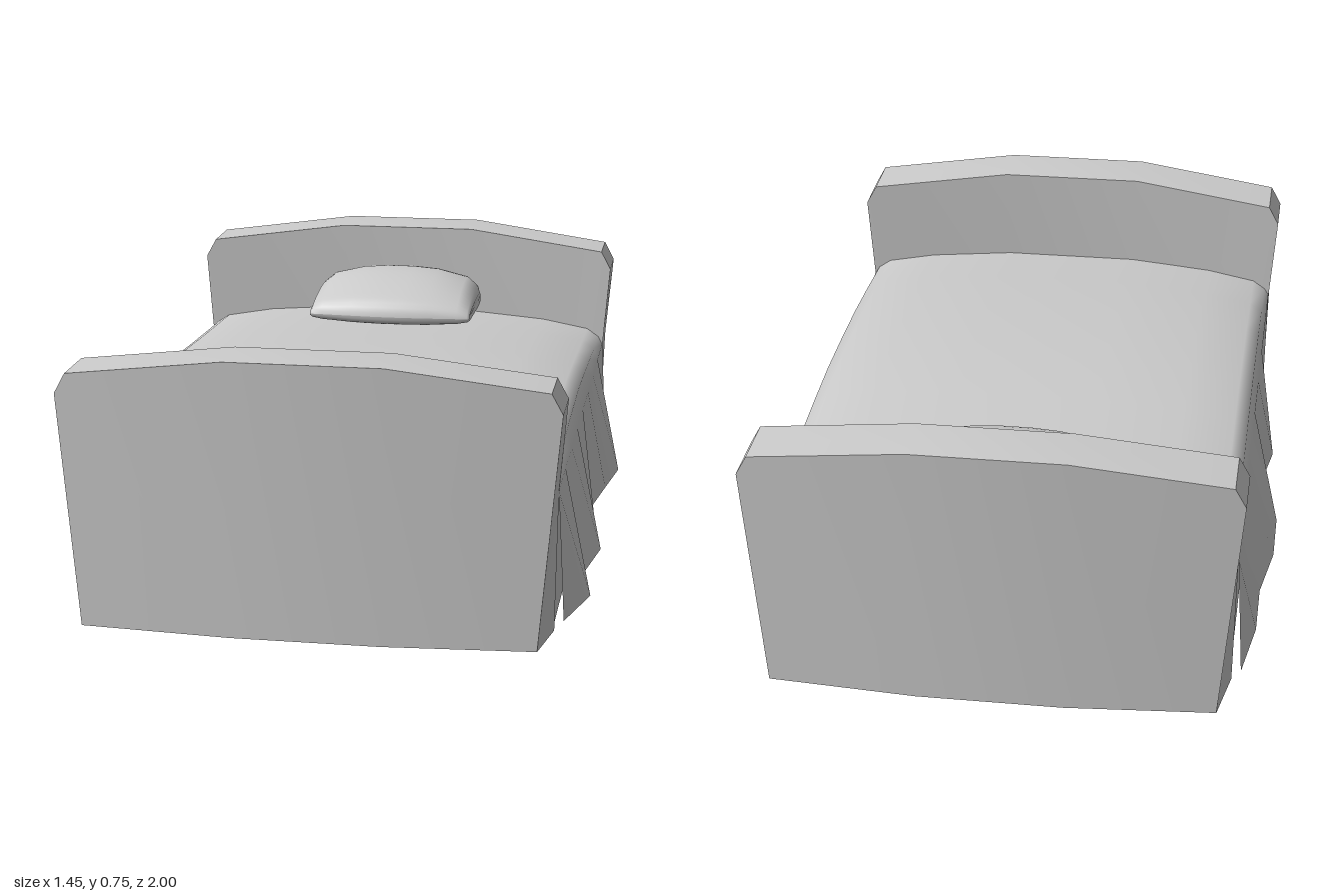
import * as THREE from 'three';
import { toCreasedNormals } from 'three/addons/utils/BufferGeometryUtils.js';

const material = new THREE.MeshStandardMaterial({ color: 0xcccccc, side: THREE.DoubleSide });

// Skin a surface over rows of [x, y, z] points; crease keeps sharper edges hard
function loft(name, rows, crease) {
  const n = rows[0].length, index = [];
  for (let r = 0; r < rows.length - 1; r++) {
    for (let c = 0; c < n - 1; c++) {
      const a = r * n + c, b = a + 1, d = a + n, e = d + 1;
      index.push(a, b, e, a, e, d);
    }
  }
  let geo = new THREE.BufferGeometry();
  geo.setAttribute('position', new THREE.Float32BufferAttribute(rows.flat(2), 3));
  geo.setIndex(index);
  if (crease) geo = toCreasedNormals(geo, crease);
  else geo.computeVertexNormals();
  const mesh = new THREE.Mesh(geo, material);
  mesh.name = name;
  return mesh;
}

// Extend a right half (from outside to centre) with its mirror image
const mirrored = (half) => [...half, ...half.slice().reverse().map(([x, y, z]) => [-x, y, z])];

// Bowed end board, open underneath
function board(name) {
  const g = new THREE.Group();
  g.name = name;
  const depth = 0.165;
  const back = (pts) => pts.map(([x, y, z]) => [x, y, z - depth]);
  const top = mirrored([[0.665, 0.64, 0.97], [0.635, 0.695, 0.972], [0.21, 0.75, 1]]);
  const foot = mirrored([[0.61, 0, 0.97], [0.58, 0, 0.972], [0.2, 0, 1]]);
  const innerFoot = mirrored([[0.645, 0.38, 0.97], [0.6, 0.38, 0.972], [0.2, 0.38, 1]]);
  g.add(loft('outerFace', [foot, top]));
  g.add(loft('innerFace', [back(top), back(innerFoot)]));
  // Rim runs up one side, over the top and down the other
  const rim = (footX, midX) => [
    [footX, 0, 0.97], [midX, 0.4, 0.97], ...top, [-midX, 0.4, 0.97], [-footX, 0, 0.97],
  ];
  g.add(loft('rim', [rim(0.61, 0.644), back(rim(0.64, 0.645))], 0.4));
  return g;
}

// Blanket with a crowned top and wavy hanging sides
function blanket() {
  const zs = [-0.81, -0.6, -0.4, -0.2, 0, 0.2, 0.4, 0.6, 0.81];
  const crown = [0.48, 0.49, 0.5, 0.512, 0.52, 0.517, 0.51, 0.495, 0.475];
  const hemLeft = [0.665, 0.72, 0.692, 0.665, 0.69, 0.72, 0.69, 0.72, 0.665];
  const hemRight = [0.665, 0.695, 0.695, 0.725, 0.725, 0.665, 0.695, 0.642, 0.642];
  const rows = zs.map((z, i) => {
    const h = crown[i];
    const side = (hem) => [
      [hem, 0.03, z], [0.645, 0.39, z], [0.632, h - 0.065, z], [0.595, h - 0.04, z],
      [0.45, h - 0.016, z * 1.01], [0.2, h, z * 1.03],
    ];
    const right = side(hemRight[i]).reverse().map(([x, y, w]) => [-x, y, w]);
    return [...side(hemLeft[i]), ...right];
  });
  return loft('blanket', rows);
}

// Plump pillow leaning against the headboard
function pillow() {
  const profile = new THREE.CatmullRomCurve3([
    [-0.48, 0.53], [-0.5, 0.57], [-0.56, 0.6], [-0.65, 0.625], [-0.74, 0.635], [-0.81, 0.625],
    [-0.84, 0.57], [-0.825, 0.49], [-0.72, 0.482], [-0.58, 0.495], [-0.49, 0.508],
  ].map(([z, y]) => new THREE.Vector3(0, y, z)), true).getPoints(32);
  // Stations: x, height scale, depth scale
  const half = [[0.25, 0, 0.8], [0.255, 0.25, 0.84], [0.248, 0.5, 0.87], [0.215, 0.75, 0.91],
    [0.12, 0.95, 0.97], [0.04, 1, 1]];
  const rows = mirrored(half).map(([x, sy, sz]) => profile.map((p) =>
    [x - 0.01, 0.525 + (p.y - 0.525) * sy, -0.66 + (p.z + 0.66) * sz]));
  return loft('pillow', rows);
}

export function createModel() {
  const bed = new THREE.Group();
  bed.name = 'bed';
  const headboard = board('headboard');
  headboard.rotation.y = Math.PI;
  bed.add(board('footboard'), headboard, blanket(), pillow());
  // Side rails behind the hanging blanket
  for (const s of [1, -1]) {
    const x = 0.635 * s;
    bed.add(loft(s > 0 ? 'leftRail' : 'rightRail', [
      [[x, 0, 0.81 * s], [x, 0, -0.81 * s]],
      [[x, 0.4, 0.81 * s], [x, 0.4, -0.81 * s]],
    ]));
  }
  return bed;
}
